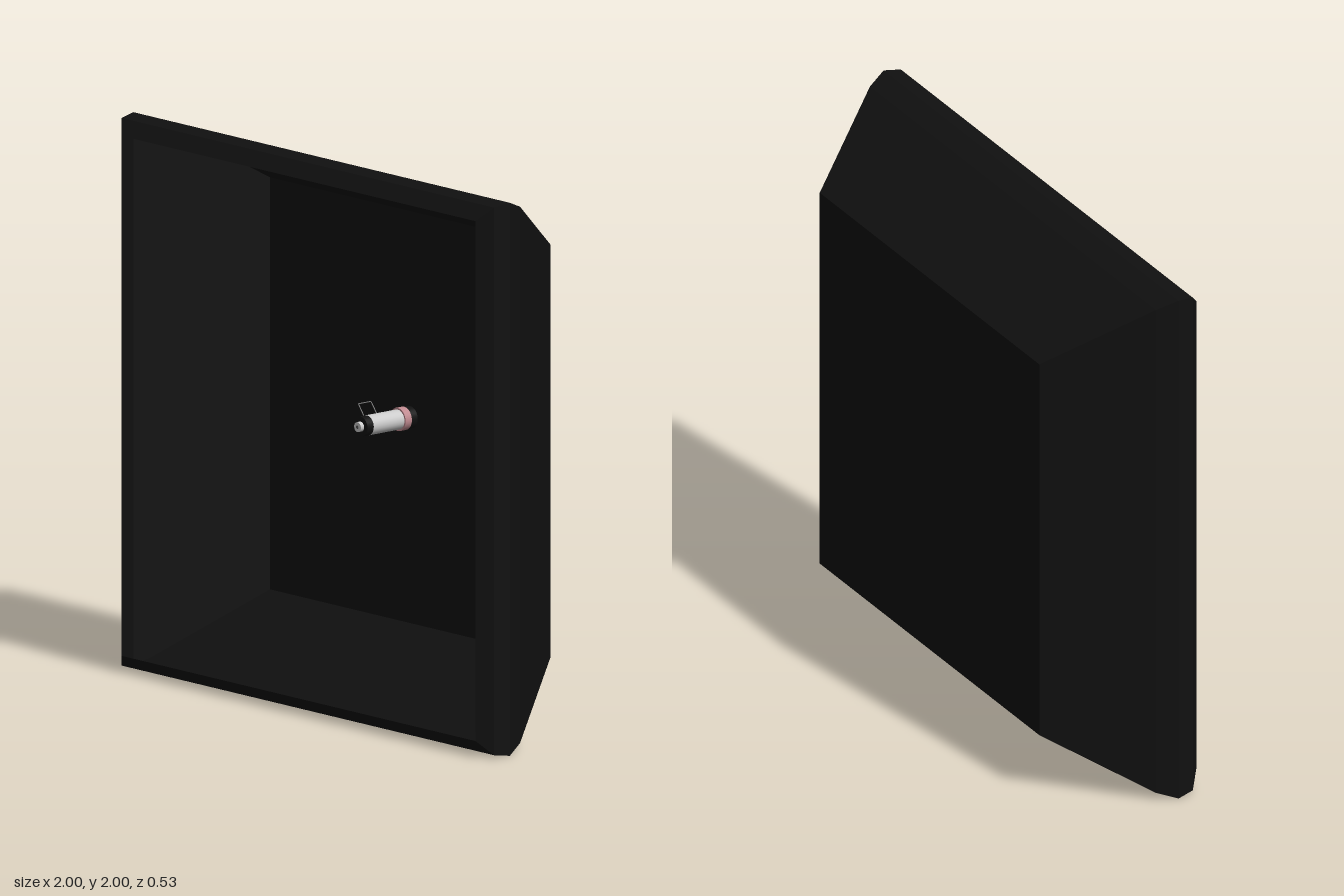
import * as THREE from 'three';

const material = (color, extra = {}) => new THREE.MeshStandardMaterial({ color, ...extra });

export function createModel() {
  const model = new THREE.Group();
  const black = material(0x101010);
  const white = material(0xcccccc);
  const pink = material(0xc08a90);

  function add(parent, name, geometry, mat) {
    const mesh = new THREE.Mesh(geometry, mat);
    mesh.name = name;
    parent.add(mesh);
    return mesh;
  }

  // Thin square tray, open at the front: [half width, z] from back to lip
  const profile = [[0, -0.265], [0.745, -0.265], [0.97, 0.08], [1, 0.155], [0.99, 0.22], [0.94, 0.265]];
  const shell = new THREE.LatheGeometry(
    profile.map(([w, z]) => new THREE.Vector2(w * Math.SQRT2, z)), 4, Math.PI / 4);
  shell.rotateX(Math.PI / 2);
  add(model, 'reflectorShell', shell,
    material(0x101010, { flatShading: true, side: THREE.DoubleSide })).position.y = 1;

  // Small lamp standing on the middle of the back wall
  const lamp = new THREE.Group();
  lamp.name = 'lamp';
  lamp.position.y = 1;
  model.add(lamp);
  function drum(name, radius, back, front, mat) {
    const geometry = new THREE.CylinderGeometry(radius, radius, front - back, 24);
    geometry.rotateX(Math.PI / 2);
    add(lamp, name, geometry, mat).position.z = (back + front) / 2;
  }
  drum('lampBase', 0.04, -0.264, -0.235, black);
  drum('lampCollar', 0.042, -0.235, -0.205, pink);
  drum('lampBody', 0.036, -0.205, -0.06, white);
  drum('lampCap', 0.036, -0.06, -0.03, black);
  drum('lampButton', 0.018, -0.03, -0.015, white);
  drum('buttonCentre', 0.006, -0.015, -0.013, material(0x555555));

  // Wire handle on the upper right of the lamp: [distance from axis, z]
  const outward = new THREE.Vector2(-0.053, 0.07).normalize();
  const corners = [[0.03, -0.065], [0.086, -0.065], [0.086, -0.125], [0.03, -0.125]]
    .map(([d, z]) => new THREE.Vector3(outward.x * d, outward.y * d, z));
  const path = new THREE.CurvePath();
  for (let i = 0; i < 3; i++) path.add(new THREE.LineCurve3(corners[i], corners[i + 1]));
  add(lamp, 'handle', new THREE.TubeGeometry(path, 36, 0.002, 6), material(0x777777));

  return model;
}
